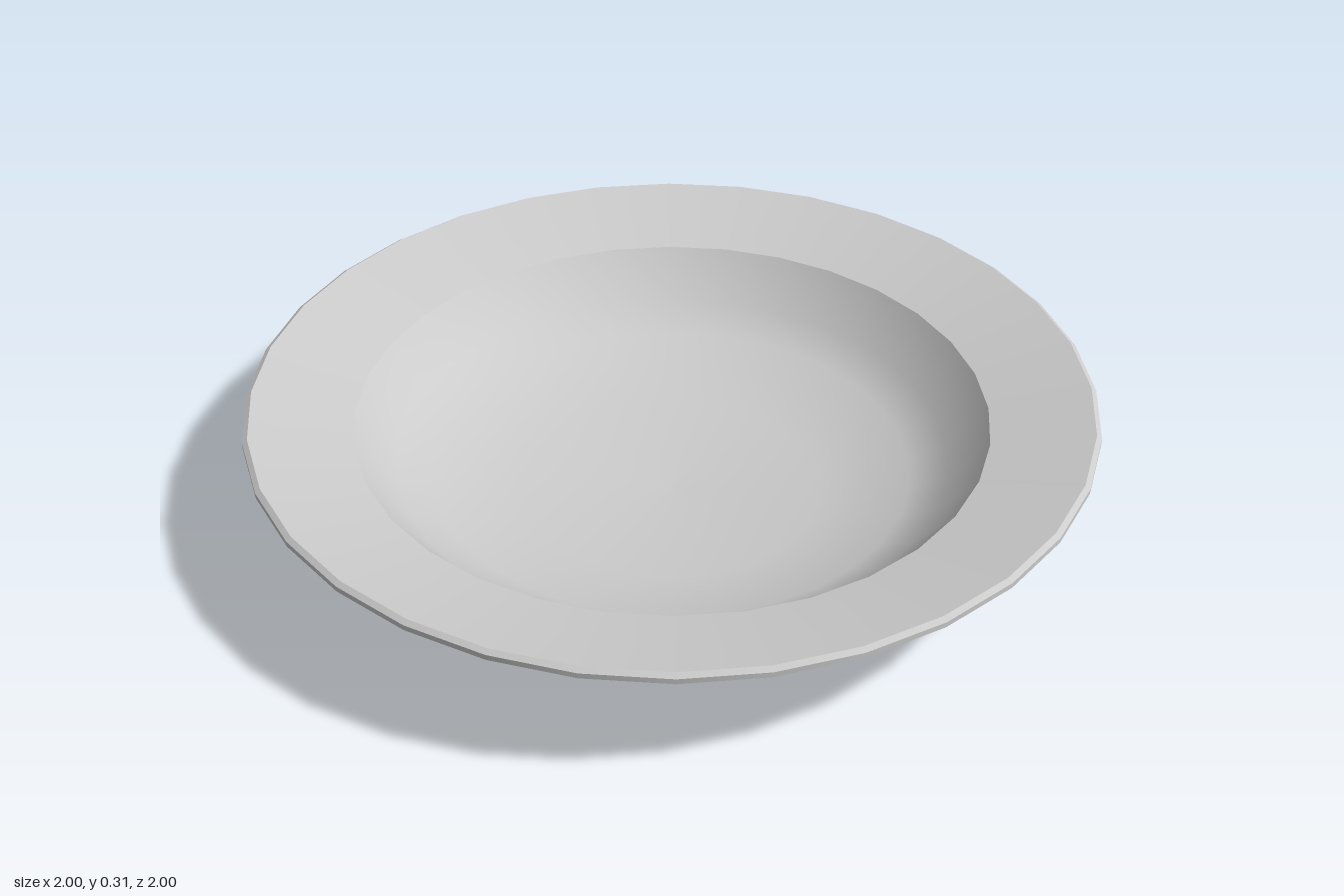
import * as THREE from 'three';

const SIDES = 32;

// Revolved surfaces: smooth within each strip, creased where strips meet.
// Profiles run [radius, height] from the underside centre, over the lip, to the inside centre.
const STRIPS = {
  outerBowl: [[0, 0], [0.36, 0.01], [0.58, 0.075], [0.675, 0.126], [0.75, 0.225]],
  rimUnderside: [[0.75, 0.225], [0.985, 0.284]],
  lipLower: [[0.985, 0.284], [1, 0.292]],
  lipEdge: [[1, 0.292], [1, 0.305]],
  lipUpper: [[1, 0.305], [0.988, 0.313]],
  rimTop: [[0.988, 0.313], [0.75, 0.256]],
  innerBowl: [[0.75, 0.256], [0.66, 0.147], [0.57, 0.1], [0.355, 0.037], [0, 0.028]],
};

export function createModel() {
  const plate = new THREE.Group();
  plate.name = 'soupPlate';
  const material = new THREE.MeshStandardMaterial({ color: 0xcccccc });

  for (const [name, profile] of Object.entries(STRIPS)) {
    const points = profile.map(([r, y]) => new THREE.Vector2(r, y));
    const mesh = new THREE.Mesh(new THREE.LatheGeometry(points, SIDES), material);
    mesh.name = name;
    plate.add(mesh);
  }
  return plate;
}
